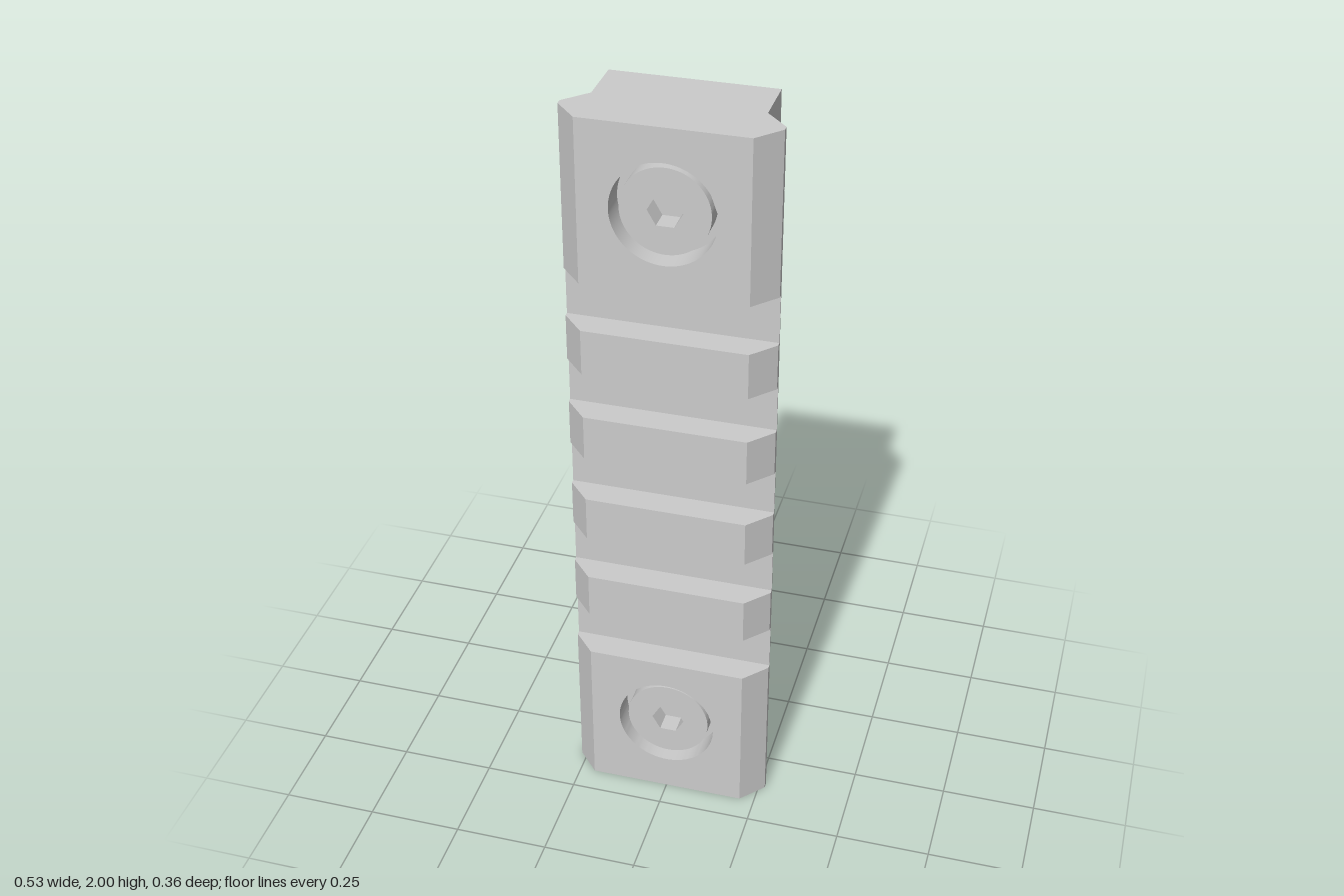
import * as THREE from 'three';
import { toCreasedNormals } from 'three/addons/utils/BufferGeometryUtils.js';

const material = new THREE.MeshStandardMaterial({ color: 0xcccccc });
const HALF = 0.21, WING = 0.267;              // half widths: body, dovetail
const BACK = -0.093, FLOOR = 0.107, LIP = 0.118, FRONT = 0.18;
const SCREW_Y = [0.228, 1.78];

const addMesh = (parent, name, geometry) => {
  const mesh = new THREE.Mesh(toCreasedNormals(geometry, 0.5), material);
  mesh.name = name;
  parent.add(mesh);
  return mesh;
};

const circlePath = (Type, y, radius) => new Type().absarc(0, y, radius, 0, Math.PI * 2, false);

// Raised rib between two heights, with bevelled sides and an optional counterbore
function ribGeometry(y0, y1, boreY) {
  const shape = new THREE.Shape([[-WING, y0], [WING, y0], [WING, y1], [-WING, y1]]
    .map(([x, y]) => new THREE.Vector2(x, y)));
  if (boreY !== undefined) shape.holes.push(circlePath(THREE.Path, boreY, 0.132));
  const geometry = new THREE.ExtrudeGeometry(shape, { depth: 2, steps: 2, bevelEnabled: false, curveSegments: 48 });
  const levels = [FLOOR, LIP, FRONT];
  const p = geometry.attributes.position;
  for (let i = 0; i < p.count; i++) {
    const level = Math.round(p.getZ(i));
    p.setZ(i, levels[level]);
    if (level === 2 && Math.abs(p.getX(i)) > HALF) p.setX(i, Math.sign(p.getX(i)) * HALF);
  }
  return geometry;
}

export function createModel() {
  const model = new THREE.Group();
  model.name = 'accessoryRail';

  // Full-length body with the lower half of the dovetail
  const half = [[HALF, BACK], [HALF, 0.043], [WING, 0.103], [WING, FLOOR]];
  const outline = [...half, ...half.map(([x, z]) => [-x, z]).reverse()];
  const body = new THREE.ExtrudeGeometry(
    new THREE.Shape(outline.map(([x, z]) => new THREE.Vector2(x, -z))),
    { depth: 2, bevelEnabled: false });
  body.rotateX(-Math.PI / 2);
  addMesh(model, 'railBody', body);

  // End blocks with counterbores, and the ribs between the cross slots
  addMesh(model, 'lowerEndBlock', ribGeometry(0, 0.435, SCREW_Y[0]));
  addMesh(model, 'upperEndBlock', ribGeometry(1.57, 2, SCREW_Y[1]));
  for (let i = 0; i < 4; i++) {
    const y = 0.565 + i * 0.25;
    addMesh(model, `rib${i + 1}`, ribGeometry(y, y + 0.124));
  }

  // Screws: socket head in the counterbore, shank out of the back
  SCREW_Y.forEach((y, i) => {
    const screw = new THREE.Group();
    screw.name = i ? 'upperScrew' : 'lowerScrew';
    screw.position.y = y;
    model.add(screw);

    const headShape = circlePath(THREE.Shape, 0, 0.112);
    const hex = Array.from({ length: 6 }, (_, k) =>
      new THREE.Vector2(Math.cos(k * Math.PI / 3), Math.sin(k * Math.PI / 3)).multiplyScalar(0.044));
    headShape.holes.push(new THREE.Path([...hex, hex[0]]));
    const head = new THREE.ExtrudeGeometry(headShape, { depth: 0.055, bevelEnabled: false, curveSegments: 48 });
    addMesh(screw, 'socketHead', head).position.z = FLOOR;

    const shank = new THREE.CylinderGeometry(0.053, 0.053, 0.1, 40).rotateX(Math.PI / 2);
    addMesh(screw, 'shank', shank).position.z = -0.13;
  });

  return model;
}
